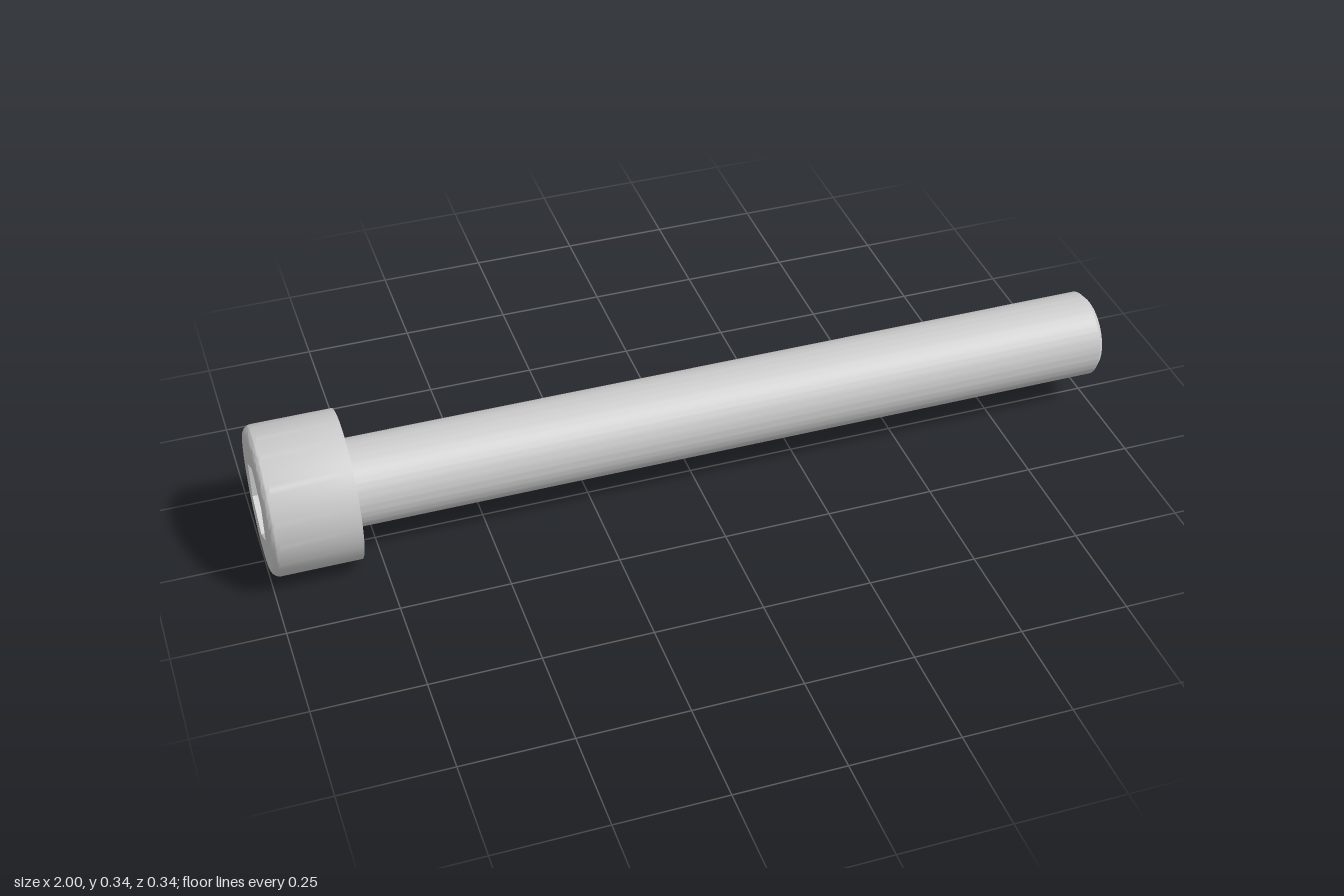
import * as THREE from 'three';
import { toCreasedNormals } from 'three/addons/utils/BufferGeometryUtils.js';

const SEGMENTS = 96;
const HEAD_R = 0.17, SHANK_R = 0.1, FILLET = 0.02, CHAMFER = 0.012;
const HEX_R = 0.08 / Math.cos(Math.PI / 6), HEX_DEPTH = 0.1;

export function createModel() {
  const grey = new THREE.MeshStandardMaterial({ color: 0xcccccc });
  const socketGrey = new THREE.MeshStandardMaterial({
    color: 0xcccccc, flatShading: true, side: THREE.DoubleSide,
  });

  // The screw is built upright, head at the top, then laid along x
  const screw = new THREE.Group();
  screw.name = 'socketHeadScrew';
  const add = (name, geometry, material = grey) => {
    const mesh = new THREE.Mesh(geometry, material);
    mesh.name = name;
    screw.add(mesh);
    return mesh;
  };
  const turned = (points) => toCreasedNormals(
    new THREE.LatheGeometry(points.map(([r, y]) => new THREE.Vector2(r, y)), SEGMENTS), 0.5);

  // Plain shank with a chamfered tip
  add('shank', turned([[0, -1], [SHANK_R - CHAMFER, -1], [SHANK_R, -1 + CHAMFER], [SHANK_R, 0.8]]));

  // Cylindrical head: flat underside, wall and rounded top edge
  const headProfile = [[SHANK_R, 0.8], [HEAD_R, 0.8]];
  for (let i = 0; i <= 8; i++) {
    const a = (i / 8) * Math.PI / 2;
    headProfile.push([HEAD_R - FILLET + FILLET * Math.cos(a), 1 - FILLET + FILLET * Math.sin(a)]);
  }
  add('head', turned(headProfile));

  // Flat head face with a hexagonal opening
  const ring = (radius, sides) => Array.from({ length: sides }, (_, i) => {
    const a = (i / sides) * Math.PI * 2;
    return new THREE.Vector2(radius * Math.cos(a), radius * Math.sin(a));
  });
  const face = new THREE.Shape(ring(HEAD_R - FILLET, SEGMENTS));
  face.holes.push(new THREE.Path(ring(HEX_R, 6)));
  add('headFace', new THREE.ShapeGeometry(face).rotateX(-Math.PI / 2).translate(0, 1, 0));

  // Hex socket walls and floor
  add('socketWalls',
    new THREE.CylinderGeometry(HEX_R, HEX_R, HEX_DEPTH, 6, 1, true, Math.PI / 2)
      .translate(0, 1 - HEX_DEPTH / 2, 0), socketGrey);
  add('socketFloor',
    new THREE.CircleGeometry(HEX_R, 6).rotateX(-Math.PI / 2).translate(0, 1 - HEX_DEPTH, 0));

  screw.rotation.z = Math.PI / 2;
  screw.position.y = HEAD_R;

  const model = new THREE.Group();
  model.name = 'screw';
  model.add(screw);
  return model;
}
